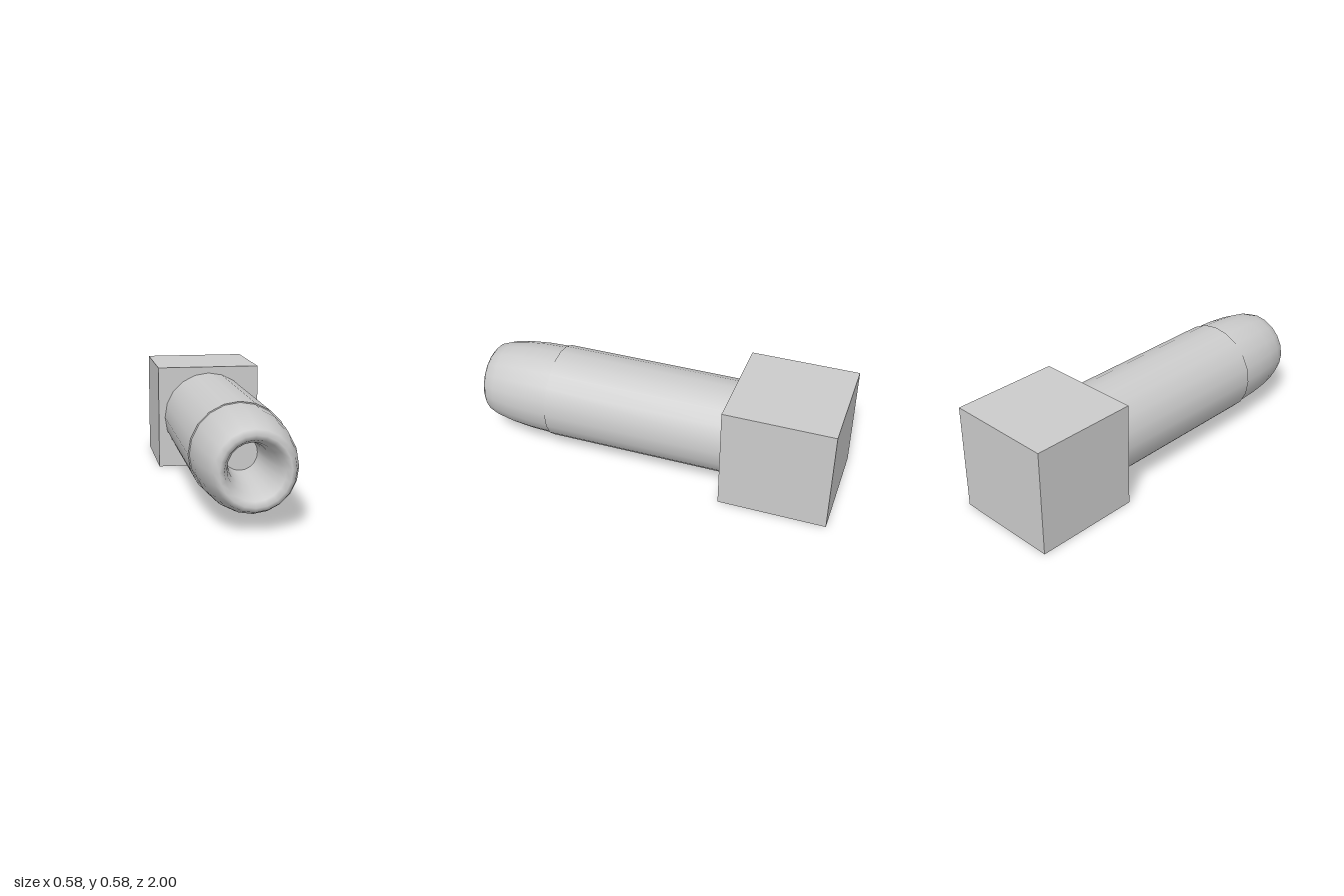
import * as THREE from 'three';

const AXIS_Y = 0.292; // height of the shared long axis
const SIDES = 20;

export function createModel() {
  const model = new THREE.Group();
  const material = new THREE.MeshStandardMaterial({ color: 0xcccccc });

  const addPart = (name, geometry, z) => {
    const mesh = new THREE.Mesh(geometry, material);
    mesh.name = name;
    mesh.position.set(0, AXIS_Y, z);
    model.add(mesh);
  };

  // Cube at the back
  addPart('baseBlock', new THREE.BoxGeometry(0.584, 0.584, 0.584), -0.708);

  // Closed cylinder running forward from the block
  const barrel = new THREE.CylinderGeometry(0.256, 0.256, 1.006, SIDES).rotateX(Math.PI / 2);
  addPart('barrel', barrel, 0.087);

  // Ring stretched along z; its front half forms the rounded, hollow muzzle
  const ringRadius = 0.169, tubeRadius = 0.081;
  const muzzle = new THREE.TorusGeometry(ringRadius, tubeRadius, 20, SIDES)
    .scale(1, 1, 0.41 / tubeRadius);
  addPart('muzzleRing', muzzle, 0.59);

  return model;
}
